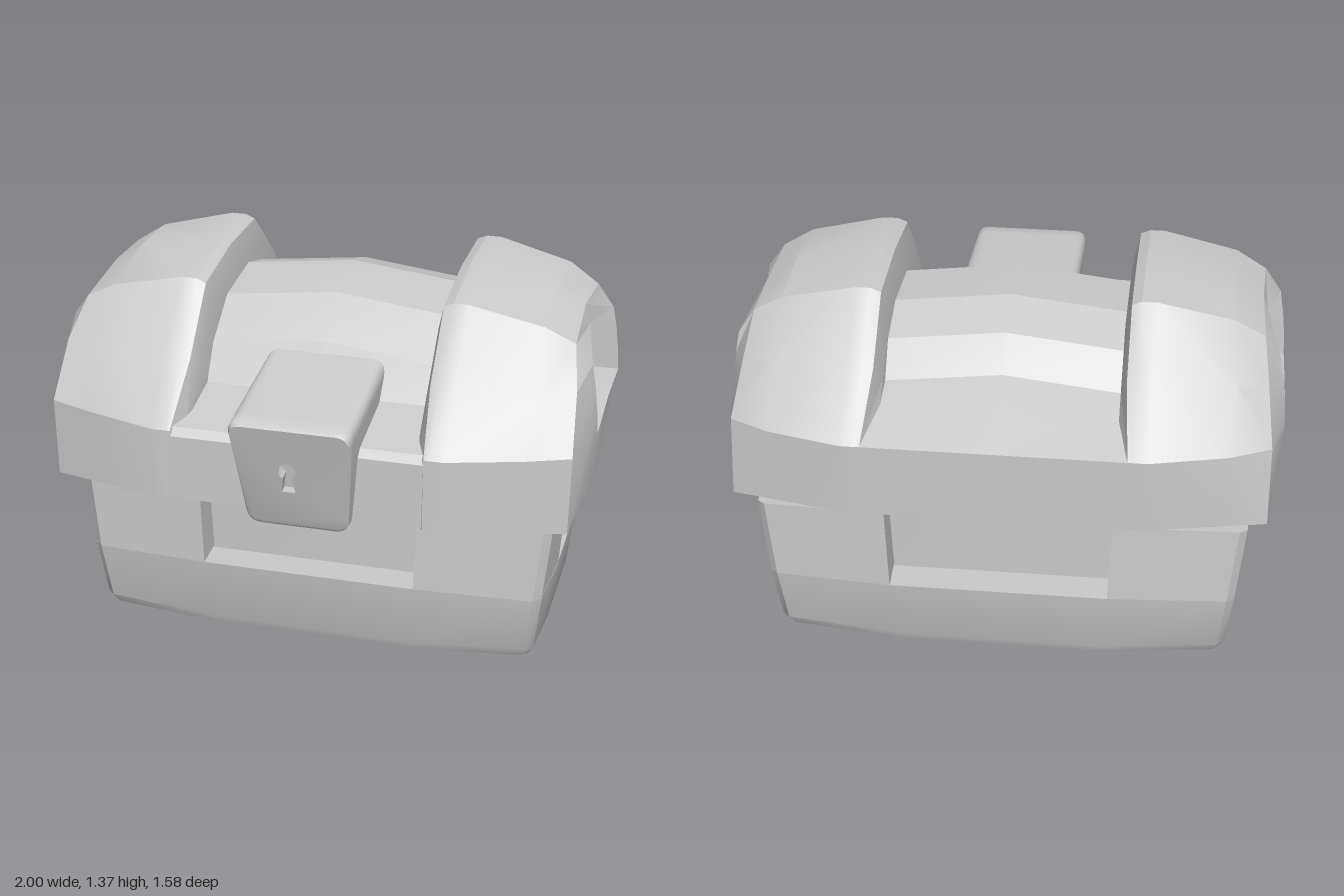
import * as THREE from 'three';
import { toCreasedNormals } from 'three/addons/utils/BufferGeometryUtils.js';

const grey = new THREE.MeshStandardMaterial({ color: 0xcccccc });

function addMesh(group, name, geometry, crease = 0.35) {
  const mesh = new THREE.Mesh(toCreasedNormals(geometry, crease), grey);
  mesh.name = name;
  group.add(mesh);
  return mesh;
}

// Closed solid through rings of [x, y, z] points, capped at both ends
function loft(rings) {
  const n = rings[0].length;
  const centre = ring => [0, 1, 2].map(k => ring.reduce((s, p) => s + p[k], 0) / n);
  const tris = [];
  const first = rings[0], last = rings[rings.length - 1];
  const c0 = centre(first), c1 = centre(last);
  for (let i = 0; i < n; i++) {
    const j = (i + 1) % n;
    for (let r = 0; r < rings.length - 1; r++) {
      const a = rings[r], b = rings[r + 1];
      tris.push([a[i], a[j], b[j]], [a[i], b[j], b[i]]);
    }
    tris.push([c0, first[j], first[i]], [c1, last[i], last[j]]);
  }
  // A negative volume means the faces point inward
  let volume = 0;
  const [u, v, w] = [0, 1, 2].map(() => new THREE.Vector3());
  for (const t of tris) volume += u.fromArray(t[0]).dot(v.fromArray(t[1]).cross(w.fromArray(t[2])));
  if (volume < 0) tris.forEach(t => t.reverse());
  const geometry = new THREE.BufferGeometry();
  geometry.setAttribute('position', new THREE.Float32BufferAttribute(tris.flat(2), 3));
  return geometry;
}

const MID = -0.085; // z of the base centre line
const ledge = x => (Math.abs(x) > 0.6 ? 0.275 : 0.295); // height of the recess floors

// Bowed plan of the base with tight corners, mirrored from one quarter
function basePlan(y, sx, sz) {
  const quarter = [[0.41, 0.572], [0.855, 0.515], [0.885, 0.485], [0.9, 0.23]];
  const half = [...quarter, ...quarter.map(([x, z]) => [x, -z]).reverse()];
  const all = [...half, ...half.map(([x, z]) => [-x, z]).reverse()];
  return all.map(([x, z]) => [x * sx, y, z * sz + MID]);
}

function makeBase() {
  const base = new THREE.Group();
  base.name = 'base';

  // Lower tub with a rounded bottom edge
  addMesh(base, 'tub', loft([
    basePlan(0, 0.885, 0.87), basePlan(0.012, 0.92, 0.915), basePlan(0.045, 0.94, 0.94),
    basePlan(0, 0.97, 1.005).map(([x, , z]) => [x, ledge(x), z]),
  ]), 0.6);

  // Recessed wall between the posts
  addMesh(base, 'innerWall', loft([
    basePlan(0.2, 0.84, 0.78), basePlan(0.59, 0.87, 0.79),
  ]));

  // Four corner posts, with slanted edges beside the end openings
  const bottom = [[0.398, 0.575], [0.829, 0.518], [0.858, 0.487], [0.873, 0.2], [0.41, 0.17]];
  const top = [[0.41, 0.57, 0.61], [0.86, 0.51, 0.58], [0.888, 0.48, 0.572], [0.9, 0.255, 0.568], [0.41, 0.15, 0.565]];
  for (const sx of [1, -1]) for (const sz of [1, -1]) {
    const post = addMesh(base, 'cornerPost', loft([
      bottom.map(([x, z]) => [x, ledge(x), z]),
      top.map(([x, z, y]) => [x, y, z]),
    ]), 0.6);
    post.scale.set(sx, 1, sz);
    post.position.z = MID;
  }
  return base;
}

function makeLid() {
  const lid = new THREE.Group();
  lid.name = 'lid';

  // Raised end: profile runs from bottom front over the top to bottom back
  const profile = [[0.63, 0.645], [0.9, 0.64], [1.115, 0.45], [1.33, 0.25], [1.37, -0.05],
    [1.365, -0.36], [1.18, -0.57], [0.98, -0.79], [0.7, -0.785], [0.64, -0.07]];
  const inner = profile.map(([y, z]) => [0.418, 0.64 + (y - 0.64) * 0.84, z * 0.9]);
  const edge = profile.map(([y, z]) => [y < 1 ? 0.46 : 0.44, y > 1 ? y - 0.015 : y, z]);
  const crown = profile.map(([y, z]) => [0.475, y, z]);
  const brow = profile.map(([y, z]) => [0.53, y, z]);
  const shoulder = [[0.8, 0.615, 0.55], [0.8, 0.895, 0.55], [0.82, 1.08, 0.42], [0.8, 1.27, 0.24],
    [0.8, 1.315, -0.06], [0.8, 1.3, -0.34], [0.82, 1.14, -0.52], [0.8, 0.97, -0.71],
    [0.8, 0.685, -0.71], [0.8, 0.62, -0.07]];
  const corner = [[0.95, 0.605, 0.5], [0.955, 0.9, 0.5], [0.94, 1.09, 0.36], [0.91, 1.21, 0.22],
    [0.9, 1.25, -0.06], [0.91, 1.23, -0.32], [0.93, 1.1, -0.46], [0.95, 0.95, -0.61],
    [0.95, 0.67, -0.66], [0.975, 0.602, -0.07]];
  // Handle opening, one point for each profile point
  const rim = [[1, 0.86, 0.2], [0.995, 0.95, 0.2], [0.985, 1.04, 0.2], [0.97, 1.13, 0.2], [0.92, 1.175, -0.06],
    [0.97, 1.14, -0.33], [0.985, 1.06, -0.335], [0.995, 0.96, -0.345], [1, 0.88, -0.35], [1, 0.89, -0.07]];
  const pocket = rim.map(([, y, z]) => [0.85, 1.02 + (y - 1.02) * 0.88, MID + (z - MID) * 0.84]);
  const end = loft([inner, edge, crown, brow, shoulder, corner, rim, pocket]);
  addMesh(lid, 'leftEnd', end);
  addMesh(lid, 'rightEnd', end).scale.x = -1;

  // Lower middle barrel with a front shelf and a back shelf, crowned at x = 0
  const barrel = [[0.635, 0.64], [0.88, 0.64], [0.91, 0.62], [0.96, 0.33], [1.08, 0.25], [1.2, 0.07],
    [1.225, -0.2], [1.17, -0.38], [1.05, -0.47], [0.98, -0.79], [0.7, -0.785], [0.64, -0.07]];
  const section = (x, rise) => barrel.map(([y, z]) => [x, y > 1 ? y + rise : y, z]);
  addMesh(lid, 'barrel', loft([section(-0.47, 0), section(0, 0.055), section(0.47, 0)]));
  return lid;
}

// Polygon outline with rounded corners
function roundedShape(points, r) {
  const v = points.map(p => new THREE.Vector2(...p));
  const shape = new THREE.Shape();
  v.forEach((p, i) => {
    const prev = v[(i + v.length - 1) % v.length], next = v[(i + 1) % v.length];
    const a = prev.clone().sub(p).setLength(r).add(p), b = next.clone().sub(p).setLength(r).add(p);
    if (i) shape.lineTo(a.x, a.y); else shape.moveTo(a.x, a.y);
    shape.quadraticCurveTo(p.x, p.y, b.x, b.y);
  });
  shape.closePath();
  return shape;
}

function makeLock() {
  const lock = new THREE.Group();
  lock.name = 'lock';
  const outline = () => roundedShape([[-0.205, 1.035], [-0.16, 0.6], [0.205, 0.6], [0.242, 1.035]], 0.05);

  // Lean each layer; t is 0 at the front face and 1 at the back
  const lean = (shape, layers) => {
    const steps = layers.length - 1;
    const geometry = new THREE.ExtrudeGeometry(shape, { depth: 1, steps, bevelEnabled: false, curveSegments: 5 });
    const pos = geometry.attributes.position;
    for (let i = 0; i < pos.count; i++) {
      const [t, s] = layers[Math.round((1 - pos.getZ(i)) * steps)];
      const x = 0.018 + (pos.getX(i) - 0.018) * s;
      const y = 0.82 + (pos.getY(i) - 0.82) * s;
      const k = (y - 0.6) / 0.43;
      pos.setXYZ(i, x, y + 0.06 * k * t, 0.68 + 0.115 * k - t * (0.14 + 0.38 * k));
    }
    return geometry;
  };

  // Front plate with a keyhole cut through it
  const plate = outline();
  const hole = new THREE.Path();
  hole.absarc(0, 0.85, 0.036, -Math.PI * 0.35, Math.PI * 1.35, false);
  hole.lineTo(-0.026, 0.755);
  hole.lineTo(0.026, 0.755);
  hole.closePath();
  plate.holes.push(hole);
  addMesh(lock, 'keyholePlate', lean(plate, [[0, 0.96], [0.035, 1], [0.14, 1]]), 0.7);
  addMesh(lock, 'lockBody', lean(outline(), [[0.14, 1], [1, 1]]), 0.7);
  return lock;
}

export function createModel() {
  const chest = new THREE.Group();
  chest.name = 'chest';
  chest.add(makeBase(), makeLid(), makeLock());
  return chest;
}
